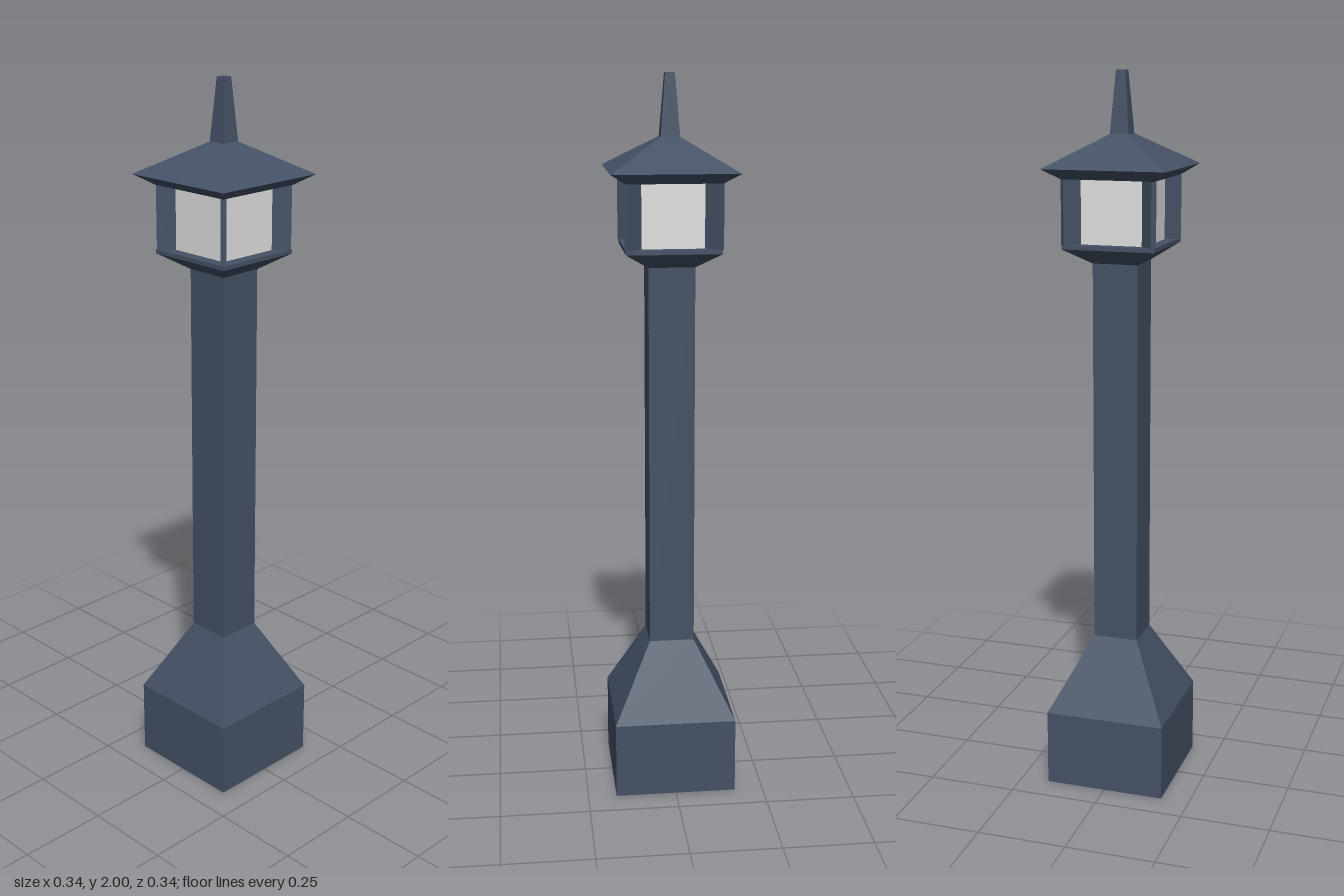
import * as THREE from 'three';

const metal = new THREE.MeshStandardMaterial({ color: 0x455165, flatShading: true });
metal.name = 'slate blue metal';
const glass = new THREE.MeshStandardMaterial({ color: 0xe0e0e0, flatShading: true });
glass.name = 'pale glass';

// Square frustum: half widths at the bottom and top, and the heights it spans
function squareSection(name, bottom, top, y0, y1, material = metal) {
  const geometry = new THREE.CylinderGeometry(top * Math.SQRT2, bottom * Math.SQRT2, y1 - y0, 4);
  geometry.rotateY(Math.PI / 4);
  const mesh = new THREE.Mesh(geometry, material);
  mesh.name = name;
  mesh.position.y = (y0 + y1) / 2;
  return mesh;
}

export function createModel() {
  const model = new THREE.Group();
  model.name = 'lampPost';

  // Pedestal and shaft
  model.add(
    squareSection('base', 0.17, 0.17, 0, 0.215),
    squareSection('baseTaper', 0.17, 0.063, 0.215, 0.425),
    squareSection('shaft', 0.063, 0.063, 0.425, 1.495),
  );

  // Lantern
  const lantern = new THREE.Group();
  lantern.name = 'lantern';
  lantern.add(
    squareSection('collar', 0.063, 0.128, 1.495, 1.538),
    squareSection('lanternFloor', 0.128, 0.128, 1.538, 1.549),
    squareSection('lanternGlass', 0.095, 0.095, 1.549, 1.722, glass),
  );

  // Thin diagonal fins at the four corners of the glass
  const inner = 0.088 * Math.SQRT2;
  const outer = 0.126 * Math.SQRT2;
  for (let i = 0; i < 4; i++) {
    const angle = Math.PI / 4 + i * Math.PI / 2;
    const fin = new THREE.Mesh(new THREE.BoxGeometry(outer - inner, 0.173, 0.015), metal);
    const radius = (inner + outer) / 2;
    fin.name = 'cornerFin';
    fin.position.set(Math.cos(angle) * radius, 1.6355, Math.sin(angle) * radius);
    fin.rotation.y = -angle;
    lantern.add(fin);
  }
  model.add(lantern);

  // Roof with a bevelled underside, and finial
  model.add(
    squareSection('eaveUnderside', 0.128, 0.17, 1.722, 1.75),
    squareSection('roof', 0.17, 0.026, 1.75, 1.835),
    squareSection('finial', 0.026, 0.013, 1.835, 2),
  );
  return model;
}
